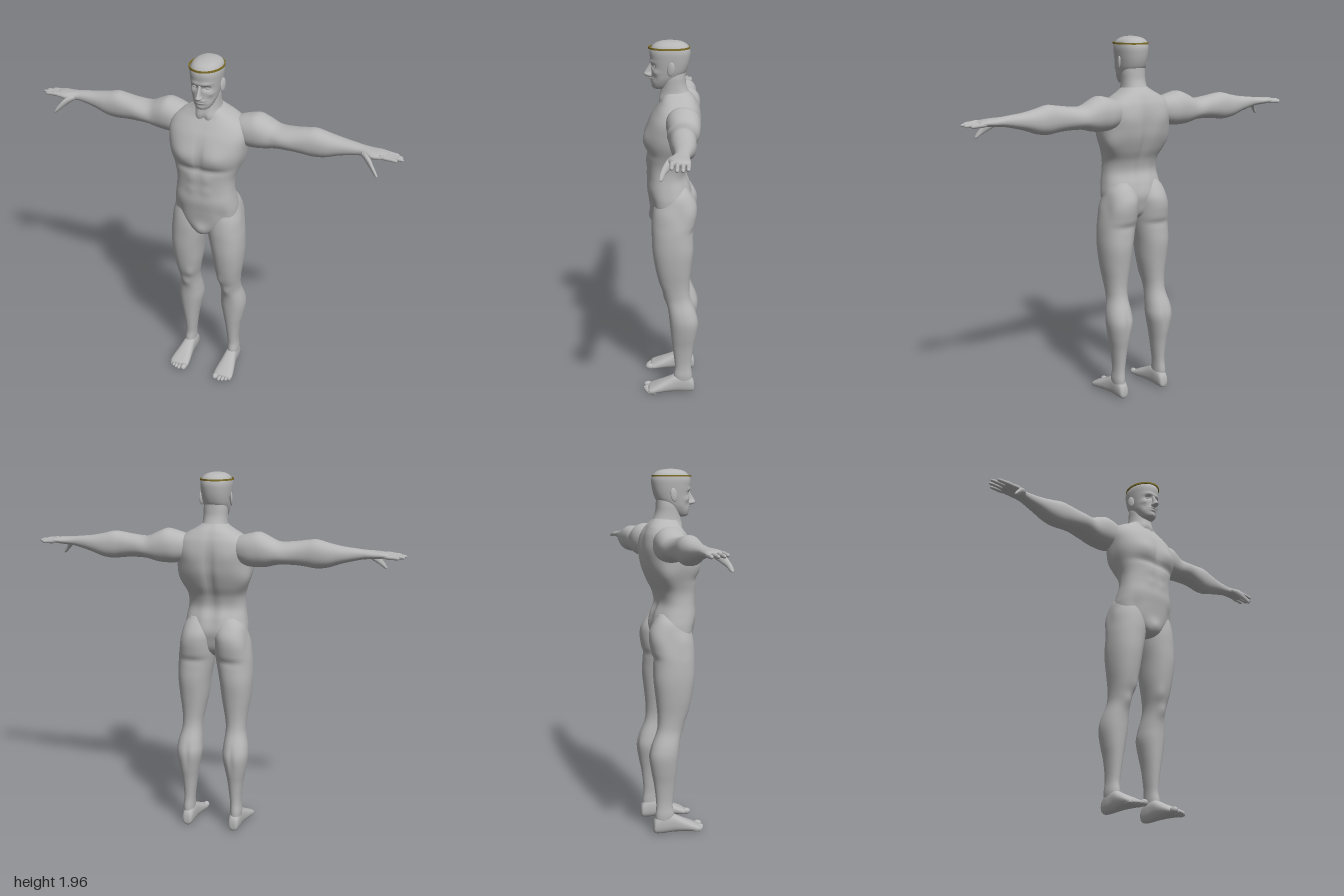
import * as THREE from 'three';

const skin = new THREE.MeshStandardMaterial({ color: 0xb6b6b6 });
skin.name = 'grey skin';
const gold = new THREE.MeshStandardMaterial({ color: 0x80702a });
gold.name = 'dark gold';

// Smooth closed loft along an axis (0 x, 1 y, 2 z).
// Row: [t, aMin, aMax, bMin, bMax], where a and b are the next two axes in cyclic order.
// Bump: [x,y,z, rx,ry,rz, dx,dy,dz], a soft push, mirrored in x when x is not 0.
function loft(axis, rows, { n = 40, steps = 5, p = 2.2, bumps = [] } = {}) {
  const all = bumps.flatMap(b => b[0] === 0 ? [b] : [b, b.map((v, i) => (i === 0 || i === 6 ? -v : v))]);
  const pos = [], idx = [];
  const total = (rows.length - 1) * steps;
  const sample = u => {
    const i = Math.min(Math.floor(u), rows.length - 2), f = u - i;
    const r = k => rows[Math.max(0, Math.min(rows.length - 1, k))];
    return rows[0].map((_, c) => {
      const [p0, p1, p2, p3] = [r(i - 1)[c], r(i)[c], r(i + 1)[c], r(i + 2)[c]];
      const m1 = (p2 - p0) / 2, m2 = (p3 - p1) / 2;
      return p1 + m1 * f + (3 * (p2 - p1) - 2 * m1 - m2) * f * f + (2 * (p1 - p2) + m1 + m2) * f ** 3;
    });
  };
  const put = (t, a, b) => {
    const v = [0, 0, 0];
    v[axis] = t; v[(axis + 1) % 3] = a; v[(axis + 2) % 3] = b;
    const o = [...v];
    for (const k of all) {
      const d = ((v[0] - k[0]) / k[3]) ** 2 + ((v[1] - k[1]) / k[4]) ** 2 + ((v[2] - k[2]) / k[5]) ** 2;
      const w = Math.exp(-d);
      for (let i = 0; i < 3; i++) o[i] += k[6 + i] * w;
    }
    pos.push(...o);
  };
  const pw = c => Math.sign(c) * Math.abs(c) ** (2 / p);
  for (let i = 0; i <= total; i++) {
    const [t, a0, a1, b0, b1] = sample(i / steps);
    for (let j = 0; j < n; j++) {
      const q = (j / n) * Math.PI * 2;
      put(t, (a0 + a1) / 2 + pw(Math.cos(q)) * (a1 - a0) / 2, (b0 + b1) / 2 + pw(Math.sin(q)) * (b1 - b0) / 2);
    }
  }
  for (let i = 0; i < total; i++) for (let j = 0; j < n; j++) {
    const a = i * n + j, b = i * n + (j + 1) % n;
    idx.push(a, b, b + n, a, b + n, a + n);
  }
  // end caps
  for (const [row, base, flip] of [[rows[0], 0, true], [rows[rows.length - 1], total * n, false]]) {
    const c = pos.length / 3;
    put(row[0], (row[1] + row[2]) / 2, (row[3] + row[4]) / 2);
    for (let j = 0; j < n; j++) {
      const a = base + j, b = base + (j + 1) % n;
      flip ? idx.push(c, b, a) : idx.push(c, a, b);
    }
  }
  const g = new THREE.BufferGeometry();
  g.setAttribute('position', new THREE.Float32BufferAttribute(pos, 3));
  g.setIndex(idx);
  g.computeVertexNormals();
  return g;
}

// Upright section, symmetric in x
const sym = rows => rows.map(([y, w, zF, zB]) => [y, zB, zF, -w, w]);

const ellipsoid = (x, y, z, rx, ry, rz) =>
  new THREE.SphereGeometry(1, 24, 16).scale(rx, ry, rz).translate(x, y, z);

function mirrored(g) {
  const m = g.clone().scale(-1, 1, 1), ix = m.index.array;
  for (let i = 0; i < ix.length; i += 3) [ix[i + 1], ix[i + 2]] = [ix[i + 2], ix[i + 1]];
  m.computeVertexNormals();
  return m;
}

export function createModel() {
  const model = new THREE.Group();
  model.name = 'standingFigure';
  const add = (name, g, mat = skin) => {
    const m = new THREE.Mesh(g, mat);
    m.name = name;
    model.add(m);
  };
  const pair = (name, g) => { add('left' + name, g); add('right' + name, mirrored(g)); };

  // Torso: pelvis, waist, chest and shoulder slope
  add('torso', loft(1, sym([
    [0.965, 0.02, 0.08, 0.03], [0.98, 0.05, 0.1, -0.03], [1.02, 0.11, 0.11, -0.08], [1.08, 0.165, 0.117, -0.1],
    [1.13, 0.173, 0.124, -0.108], [1.19, 0.165, 0.132, -0.093], [1.25, 0.156, 0.128, -0.072],
    [1.31, 0.156, 0.13, -0.085], [1.37, 0.172, 0.133, -0.116], [1.44, 0.196, 0.14, -0.142],
    [1.5, 0.206, 0.134, -0.15], [1.56, 0.21, 0.112, -0.152], [1.61, 0.19, 0.082, -0.145],
    [1.645, 0.145, 0.06, -0.13], [1.67, 0.1, 0.05, -0.114], [1.7, 0.055, 0.04, -0.085],
  ]), {
    n: 80, steps: 6, p: 2.4, bumps: [
      [0.09, 1.455, 0.14, 0.07, 0.05, 0.08, 0, 0, 0.014], // chest muscles
      [0.08, 1.385, 0.14, 0.1, 0.018, 0.08, 0, 0, -0.008],
      [0, 1.46, 0.14, 0.018, 0.09, 0.08, 0, 0, -0.012],
      [0.04, 1.33, 0.13, 0.03, 0.03, 0.05, 0, 0, 0.005], // abdomen
      [0.04, 1.26, 0.13, 0.03, 0.03, 0.05, 0, 0, 0.005],
      [0.12, 1.1, 0.1, 0.03, 0.05, 0.05, 0, 0, -0.008],
      [0, 1.01, 0.11, 0.035, 0.035, 0.05, 0, 0, 0.014],
      [0, 1.4, -0.15, 0.022, 0.2, 0.08, 0, 0, 0.018], // spine groove
      [0.1, 1.53, -0.15, 0.06, 0.06, 0.06, 0, 0, -0.007], // shoulder blades
      [0.05, 1.22, -0.08, 0.03, 0.08, 0.05, 0, 0, -0.007],
      [0.17, 1.4, -0.06, 0.05, 0.06, 0.06, 0.012, 0, -0.006], // side back muscles
    ],
  }));

  add('neck', loft(1, sym([
    [1.6, 0.1, 0.05, -0.13], [1.65, 0.082, 0.063, -0.12], [1.69, 0.067, 0.057, -0.092],
    [1.73, 0.063, 0.052, -0.076], [1.77, 0.062, 0.05, -0.072], [1.81, 0.055, 0.04, -0.07],
  ]), { bumps: [[0.03, 1.65, 0.06, 0.02, 0.06, 0.03, 0, 0, 0.006], [0, 1.64, 0.06, 0.012, 0.02, 0.03, 0, 0, -0.008]] }));

  add('head', loft(1, sym([
    [1.707, 0.015, 0.082, 0.05], [1.712, 0.034, 0.094, 0.025], [1.73, 0.048, 0.101, 0.0], [1.76, 0.061, 0.105, -0.035],
    [1.79, 0.068, 0.104, -0.068], [1.82, 0.073, 0.106, -0.083], [1.86, 0.078, 0.11, -0.093],
    [1.9, 0.08, 0.112, -0.096], [1.93, 0.071, 0.097, -0.083], [1.948, 0.046, 0.066, -0.053], [1.955, 0.012, 0.025, -0.01],
  ]), {
    n: 96, steps: 8, p: 2.25, bumps: [
      [0.032, 1.828, 0.1, 0.018, 0.012, 0.04, 0, 0, -0.014], // eye sockets
      [0.03, 1.85, 0.105, 0.026, 0.009, 0.04, 0, 0, 0.006], // brows
      [0.05, 1.797, 0.08, 0.016, 0.014, 0.03, 0.003, 0, 0.004], // cheekbones
      [0.045, 1.765, 0.08, 0.014, 0.016, 0.03, 0, 0, -0.005],
      [0, 1.762, 0.105, 0.022, 0.005, 0.04, 0, 0, 0.01], // lips
      [0, 1.748, 0.105, 0.02, 0.005, 0.04, 0, 0, 0.009],
      [0, 1.722, 0.1, 0.02, 0.012, 0.04, 0, 0, 0.005], // chin
    ],
  }));
  add('nose', loft(1, sym([
    [1.768, 0.006, 0.116, 0.09], [1.774, 0.017, 0.134, 0.09], [1.783, 0.017, 0.144, 0.09],
    [1.795, 0.011, 0.139, 0.09], [1.82, 0.008, 0.123, 0.09], [1.838, 0.008, 0.113, 0.09], [1.85, 0.006, 0.108, 0.09],
  ]), { n: 24, p: 2 }));
  pair('Eye', ellipsoid(0.031, 1.827, 0.084, 0.013, 0.007, 0.009));
  pair('Ear', ellipsoid(0, 0, 0, 0.008, 0.036, 0.02).rotateY(-0.3).rotateX(-0.15).translate(0.08, 1.82, 0.002));

  // Thin circlet around the forehead
  const ring = new THREE.Shape().absellipse(0, -0.013, 0.087, 0.107, 0, Math.PI * 2);
  ring.holes.push(new THREE.Path().absellipse(0, -0.013, 0.081, 0.101, 0, Math.PI * 2));
  add('circlet', new THREE.ExtrudeGeometry(ring, { depth: 0.009, bevelEnabled: false, curveSegments: 48 })
    .rotateX(-Math.PI / 2).translate(0, 1.914, 0), gold);

  // Arm from shoulder to palm: [x, yMin, yMax, zMin, zMax]
  pair('Arm', loft(0, [
    [0.1, 1.53, 1.62, -0.1, -0.02], [0.15, 1.5, 1.64, -0.13, 0.01], [0.2, 1.485, 1.655, -0.147, 0.022],
    [0.25, 1.483, 1.664, -0.151, 0.022], [0.3, 1.488, 1.645, -0.149, 0.015], [0.36, 1.502, 1.619, -0.14, 0.01],
    [0.44, 1.503, 1.624, -0.13, 0.006], [0.5, 1.498, 1.633, -0.128, 0.002], [0.55, 1.492, 1.638, -0.13, -0.003],
    [0.61, 1.499, 1.624, -0.129, -0.01], [0.68, 1.523, 1.61, -0.12, -0.022], [0.75, 1.541, 1.602, -0.106, -0.03],
    [0.79, 1.549, 1.597, -0.1, -0.028], [0.84, 1.552, 1.593, -0.102, -0.006], [0.88, 1.557, 1.59, -0.105, -0.009],
    [0.91, 1.563, 1.583, -0.102, -0.014], [0.916, 1.568, 1.578, -0.095, -0.02],
  ], {
    n: 48, bumps: [
      [0.33, 1.6, -0.01, 0.03, 0.05, 0.06, 0, 0, -0.007],
      [0.4, 1.57, 0.01, 0.05, 0.04, 0.04, 0, 0, 0.006],
      [0.37, 1.54, -0.14, 0.05, 0.05, 0.05, 0, 0, -0.005],
    ],
  }));
  const fingers = [['IndexFinger', 0.972, -0.022], ['MiddleFinger', 0.998, -0.046],
    ['RingFinger', 0.99, -0.071], ['LittleFinger', 0.966, -0.094]];
  for (const [name, tip, z] of fingers) {
    const y = 1.574 + (z + 0.05) * 0.1, len = tip - 0.885;
    pair(name, loft(0, [[0, 0.009], [0.3, 0.011], [0.55, 0.0095], [0.85, 0.009], [0.96, 0.006], [1, 0.001]]
      .map(([f, r]) => [0.885 + f * len, y - 0.006 * f - r, y - 0.006 * f + r, z - r, z + r]), { n: 16, p: 2 }));
  }
  pair('Thumb', loft(0, [
    [0.795, 1.56, 1.582, -0.045, -0.02], [0.82, 1.543, 1.582, -0.04, 0.0], [0.845, 1.524, 1.566, -0.018, 0.016],
    [0.865, 1.508, 1.542, 0.002, 0.027], [0.882, 1.493, 1.52, 0.013, 0.034], [0.892, 1.489, 1.503, 0.02, 0.034],
    [0.895, 1.492, 1.496, 0.025, 0.03],
  ], { n: 20, p: 2 }));

  // Leg from ankle to buttock: [y, zMin, zMax, xMin, xMax]
  pair('Leg', loft(1, [
    [0.04, -0.115, -0.02, 0.108, 0.162], [0.1, -0.118, -0.015, 0.106, 0.168], [0.15, -0.113, -0.022, 0.105, 0.164],
    [0.2, -0.115, -0.018, 0.1, 0.165], [0.28, -0.125, -0.008, 0.09, 0.174], [0.35, -0.139, 0, 0.077, 0.188],
    [0.43, -0.15, 0.008, 0.062, 0.2], [0.49, -0.137, 0.014, 0.064, 0.196], [0.56, -0.109, 0.026, 0.07, 0.18],
    [0.61, -0.1, 0.043, 0.068, 0.179], [0.67, -0.101, 0.066, 0.057, 0.185], [0.75, -0.109, 0.085, 0.042, 0.197],
    [0.85, -0.12, 0.1, 0.029, 0.206], [0.94, -0.118, 0.104, 0.012, 0.205], [1.0, -0.128, 0.105, 0.004, 0.2],
    [1.06, -0.137, 0.1, 0.003, 0.194], [1.11, -0.133, 0.09, 0.003, 0.18], [1.16, -0.108, 0.07, 0.015, 0.163],
    [1.2, -0.08, 0.03, 0.04, 0.13],
  ], {
    n: 56, bumps: [
      [0.122, 0.575, 0.03, 0.03, 0.035, 0.04, 0, 0, 0.01], // kneecap
      [0.085, 0.66, 0.05, 0.025, 0.04, 0.04, 0, 0, 0.008],
      [0.125, 0.43, -0.15, 0.012, 0.06, 0.05, 0, 0, 0.006], // calf split
      [0.1, 0.965, -0.12, 0.08, 0.018, 0.05, 0, 0, 0.007], // fold under the buttock
      [0.19, 1.06, -0.05, 0.04, 0.05, 0.04, -0.008, 0, 0],
    ],
  }));

  // Foot: [z, xMin, xMax, yMin, yMax]
  pair('Foot', loft(2, [
    [-0.131, 0.122, 0.148, 0.02, 0.045], [-0.122, 0.108, 0.16, 0.004, 0.08], [-0.085, 0.102, 0.167, 0, 0.11],
    [-0.03, 0.099, 0.171, 0.002, 0.108], [0.02, 0.093, 0.181, 0.003, 0.084], [0.07, 0.086, 0.192, 0.002, 0.06],
    [0.105, 0.084, 0.196, 0, 0.043], [0.122, 0.088, 0.19, 0.003, 0.034], [0.127, 0.1, 0.18, 0.01, 0.025],
  ], { p: 2.4 }));
  [[0.102, 0.131, 0.017], [0.128, 0.133, 0.011], [0.148, 0.127, 0.0105], [0.167, 0.118, 0.01], [0.184, 0.105, 0.0095]]
    .forEach(([x, z, r], i) => pair('Toe' + (i + 1), ellipsoid(x, 0.004 + r, z, r, r * 1.05, 0.024)));

  return model;
}
